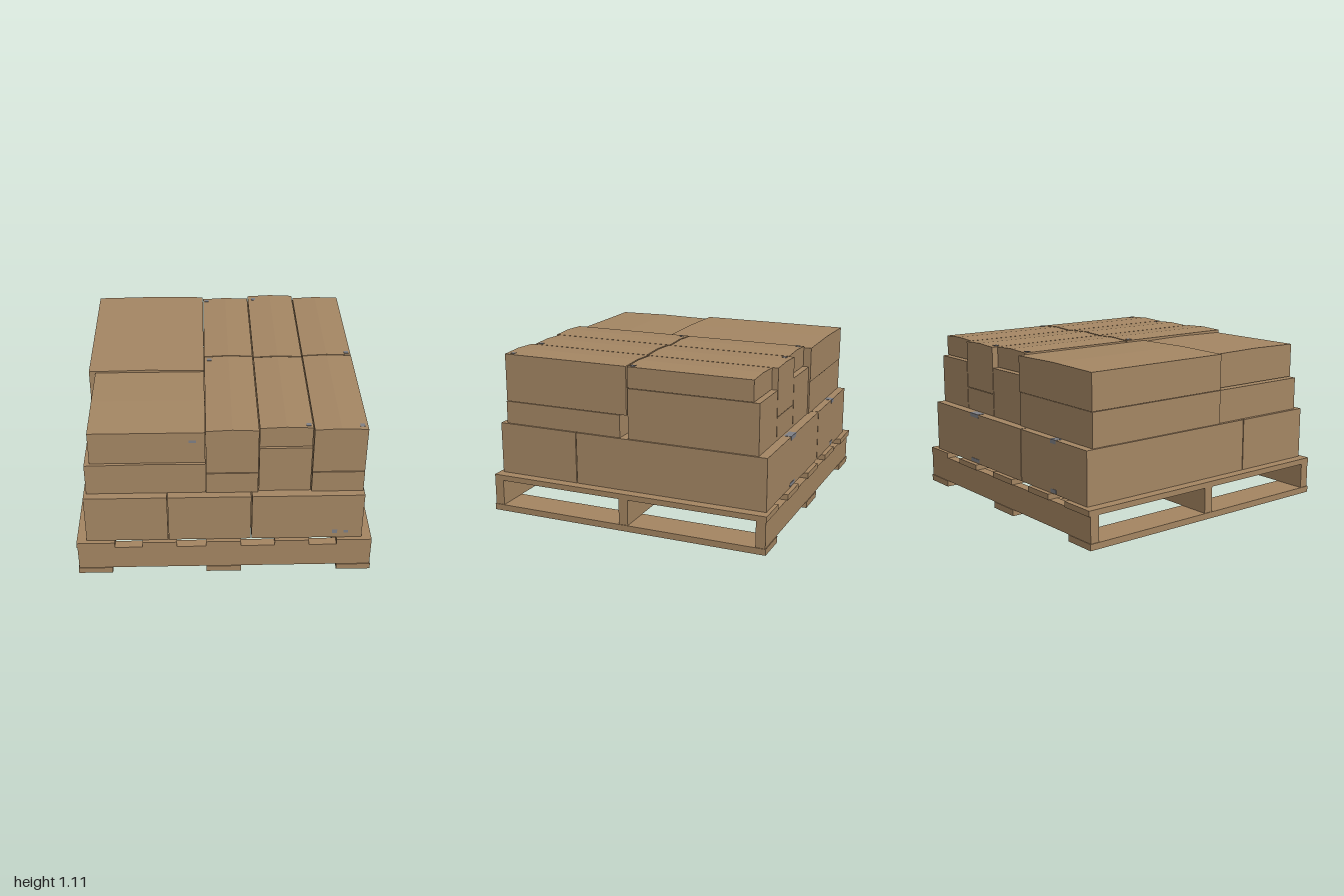
import * as THREE from 'three';

const material = (name, color) => {
  const m = new THREE.MeshStandardMaterial({ color });
  m.name = name;
  return m;
};

export function createModel() {
  const cardboard = material('cardboard', 0xa58764);
  const wood = material('pallet wood', 0xa58662);
  const ink = material('printed ink', 0x7f8086);
  const model = new THREE.Group();
  model.name = 'loadedPallet';
  const groups = {};
  for (const name of ['pallet', 'bottomLayer', 'upperStack', 'printedMarks']) {
    groups[name] = new THREE.Group();
    groups[name].name = name;
    model.add(groups[name]);
  }

  // Block between two corners; ridge 'x' or 'z' lifts the closing seam of the lid
  function block(parent, name, mat, [x0, x1], [y0, y1], [z0, z1], ridge = '', lift = 0.008) {
    const sx = ridge === 'z' ? 2 : 1, sz = ridge === 'x' ? 2 : 1;
    let geo = new THREE.BoxGeometry(x1 - x0, y1 - y0, z1 - z0, sx, 1, sz);
    if (ridge) {
      const p = geo.attributes.position;
      for (let i = 0; i < p.count; i++) {
        const across = ridge === 'z' ? p.getX(i) : p.getZ(i);
        if (p.getY(i) > 0 && Math.abs(across) < 1e-4) p.setY(i, p.getY(i) + lift);
      }
      geo = geo.toNonIndexed();
      geo.computeVertexNormals();
    }
    const mesh = new THREE.Mesh(geo, mat);
    mesh.name = name;
    mesh.position.set((x0 + x1) / 2, (y0 + y1) / 2, (z0 + z1) / 2);
    groups[parent].add(mesh);
  }

  // Pallet: bottom runners, cross stringers, deck boards
  for (const x of [[-0.99, -0.76], [-0.125, 0.11], [0.76, 0.99]])
    block('pallet', 'bottomBoard', wood, x, [0.005, 0.048], [-0.99, 0.995]);
  for (const z of [[-0.985, -0.92], [-0.03, 0.035], [0.925, 0.99]])
    block('pallet', 'stringer', wood, [-0.985, 0.985], [0.048, 0.225], z);
  const deck = [[-0.99, -0.735, -1], [-0.55, -0.32, -0.995], [-0.125, 0.11, -0.995],
    [0.335, 0.565, -0.995], [0.75, 0.985, -0.99]];
  for (const [x0, x1, z0] of deck)
    block('pallet', 'deckBoard', wood, [x0, x1], [0.225, 0.263], [z0, 0.99]);

  // Bottom layer of cartons
  const low = [0.264, 0.62];
  for (const x of [[-0.923, -0.378], [-0.373, 0.173], [0.18, 0.918]])
    block('bottomLayer', 'frontCarton', cardboard, x, low, [0.383, 0.962]);
  for (const x of [[-0.923, -0.203], [-0.197, 0.918]])
    block('bottomLayer', 'backCarton', cardboard, x, low, [-0.965, 0.377]);

  // Large cartons stacked on the -x half
  const wide = [-0.915, -0.124];
  block('upperStack', 'lowerFrontLargeCarton', cardboard, [-0.905, -0.124], [0.622, 0.848], [0.167, 0.91], 'z', 0.006);
  block('upperStack', 'upperFrontLargeCarton', cardboard, [-0.87, -0.124], [0.855, 1.088], [0.167, 0.895], 'x', 0.006);
  block('upperStack', 'lowerBackLargeCarton', cardboard, wide, [0.622, 0.85], [-0.915, 0.161]);
  block('upperStack', 'upperBackLargeCarton', cardboard, wide, [0.853, 1.095], [-0.918, 0.161], 'z', 0.007);

  // Narrow cartons on the +x half; the seam height alternates by column and row
  [[-0.12, 0.218], [0.224, 0.563], [0.569, 0.91]].forEach((x, i) => {
    const middle = i === 1;
    const frontSeam = middle ? 0.965 : 0.78;
    const backSeam = middle ? 0.78 : 0.965;
    block('upperStack', 'lowerFrontNarrowCarton', cardboard, x, [0.622, frontSeam - 0.003], [middle ? 0.02 : 0.055, middle ? 0.9 : 0.915]);
    block('upperStack', 'upperFrontNarrowCarton', cardboard, x, [frontSeam, 1.107], [middle ? 0.02 : 0.005, middle ? 0.885 : 0.91], 'z');
    block('upperStack', 'lowerBackNarrowCarton', cardboard, x, [0.622, backSeam - 0.003], [-0.905, -0.005]);
    block('upperStack', 'upperBackNarrowCarton', cardboard, x, [backSeam, 1.106], [middle ? -0.905 : -0.865, middle ? 0.01 : -0.004], 'z');
  });

  // Small printed marks on the fronts: [x, y, width, height, z]
  for (const [x, y, w, h, z] of [[-0.205, 1.02, 0.05, 0.02, 0.895], [0.735, 0.315, 0.035, 0.03, 0.962], [0.81, 0.315, 0.03, 0.02, 0.962]])
    block('printedMarks', 'frontMark', ink, [x - w / 2, x + w / 2], [y - h / 2, y + h / 2], [z, z + 0.002]);

  // Labels folded over the rear top edge of the bottom layer, and their lower ends
  for (const [x0, x1] of [[-0.6, -0.54], [0.335, 0.44]]) {
    block('printedMarks', 'rearLabelTop', ink, [x0, x1], [0.62, 0.622], [-0.965, -0.915]);
    block('printedMarks', 'rearLabelUpper', ink, [x0, x1], [0.595, 0.622], [-0.967, -0.965]);
    block('printedMarks', 'rearLabelLower', ink, [x0, x1], [0.27, 0.295], [-0.967, -0.965]);
  }

  // Small marks on the lids
  for (const [x, z] of [[-0.095, -0.83], [0.265, -0.85], [-0.085, 0.045], [0.535, 0.85], [0.875, 0.865], [0.88, -0.035]])
    block('printedMarks', 'lidMark', ink, [x - 0.015, x + 0.015], [1.107, 1.111], [z - 0.015, z + 0.015]);

  return model;
}
